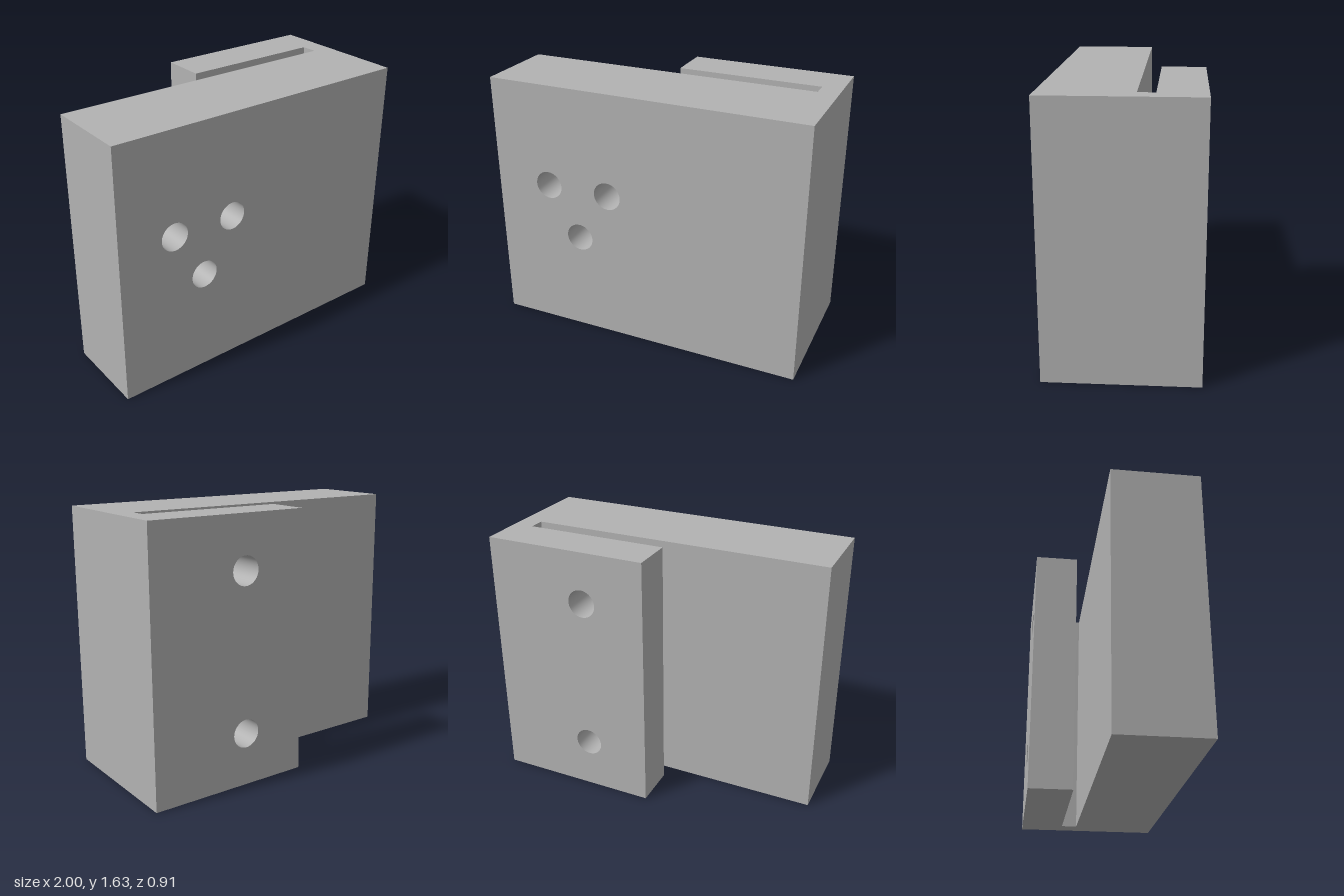
import * as THREE from 'three';
import { toCreasedNormals } from 'three/addons/utils/BufferGeometryUtils.js';

const H = 1.63, R = 0.088, R_TIP = 0.068, Z = 0.455, SLOT_BACK = -0.18, SLOT_FRONT = -0.08;

// hook-shaped footprint as [x, z], outside on the right of each edge seen from above
const footprint = [
  [-1, Z], [1, Z], [1, -Z], [-0.025, -Z],
  [-0.025, SLOT_BACK], [0.875, SLOT_BACK], [0.875, SLOT_FRONT], [-1, SLOT_FRONT],
];
const wallNames = ['frontFace', 'leftFace', 'flangeBack', 'flangeEnd',
  'slotBackWall', 'slotEnd', 'plateBack', 'plateEnd'];

// bore centres as [x, y]
const frontBores = [[-0.635, 0.98], [-0.23, 0.98], [-0.433, 0.655]];
const flangeBores = [[0.38, 1.304], [0.38, 0.326]];
const wallBores = { frontFace: frontBores, flangeBack: flangeBores, slotBackWall: flangeBores };

export function createModel() {
  const group = new THREE.Group();
  const grey = new THREE.MeshStandardMaterial({ color: 0xb2b2b2 });
  grey.name = 'grey';

  const add = (name, geometry) => {
    const mesh = new THREE.Mesh(geometry, grey);
    mesh.name = name;
    group.add(mesh);
    return mesh;
  };

  // upright walls, pierced where bores enter
  footprint.forEach(([ax, az], i) => {
    const [bx, bz] = footprint[(i + 1) % footprint.length];
    const length = Math.hypot(bx - ax, bz - az);
    const shape = new THREE.Shape([[0, 0], [length, 0], [length, H], [0, H]]
      .map(([x, y]) => new THREE.Vector2(x, y)));
    for (const [x, y] of wallBores[wallNames[i]] ?? []) {
      shape.holes.push(new THREE.Path().absarc(Math.abs(x - ax), y, R, 0, Math.PI * 2, true));
    }
    const wall = add(wallNames[i], new THREE.ShapeGeometry(shape, 24));
    wall.position.set(ax, 0, az);
    wall.rotation.y = Math.atan2(az - bz, bx - ax);
  });

  // top and bottom
  const cap = (sign) => new THREE.ShapeGeometry(new THREE.Shape(
    footprint.map(([x, z]) => new THREE.Vector2(x, -sign * z)))).rotateX(-sign * Math.PI / 2);
  add('top', cap(1)).position.y = H;
  add('bottom', cap(-1));

  // bore linings, profiles run inward from the mouth as [radius, depth]
  const bore = (profile, sign) => toCreasedNormals(new THREE.LatheGeometry(
    profile.map(([r, d]) => new THREE.Vector2(r, -d)), 48).rotateX(sign * Math.PI / 2), 0.6);
  for (const [x, y] of frontBores) {
    const profile = [[R, 0], [R, 0.3], [R_TIP, 0.3], [R_TIP, 0.4], [0, 0.4]];
    add('frontBore', bore(profile, 1)).position.set(x, y, Z);
  }
  for (const [x, y] of flangeBores) {
    add('flangeBore', bore([[R, 0], [R, Z + SLOT_BACK]], -1)).position.set(x, y, -Z);
  }
  return group;
}
